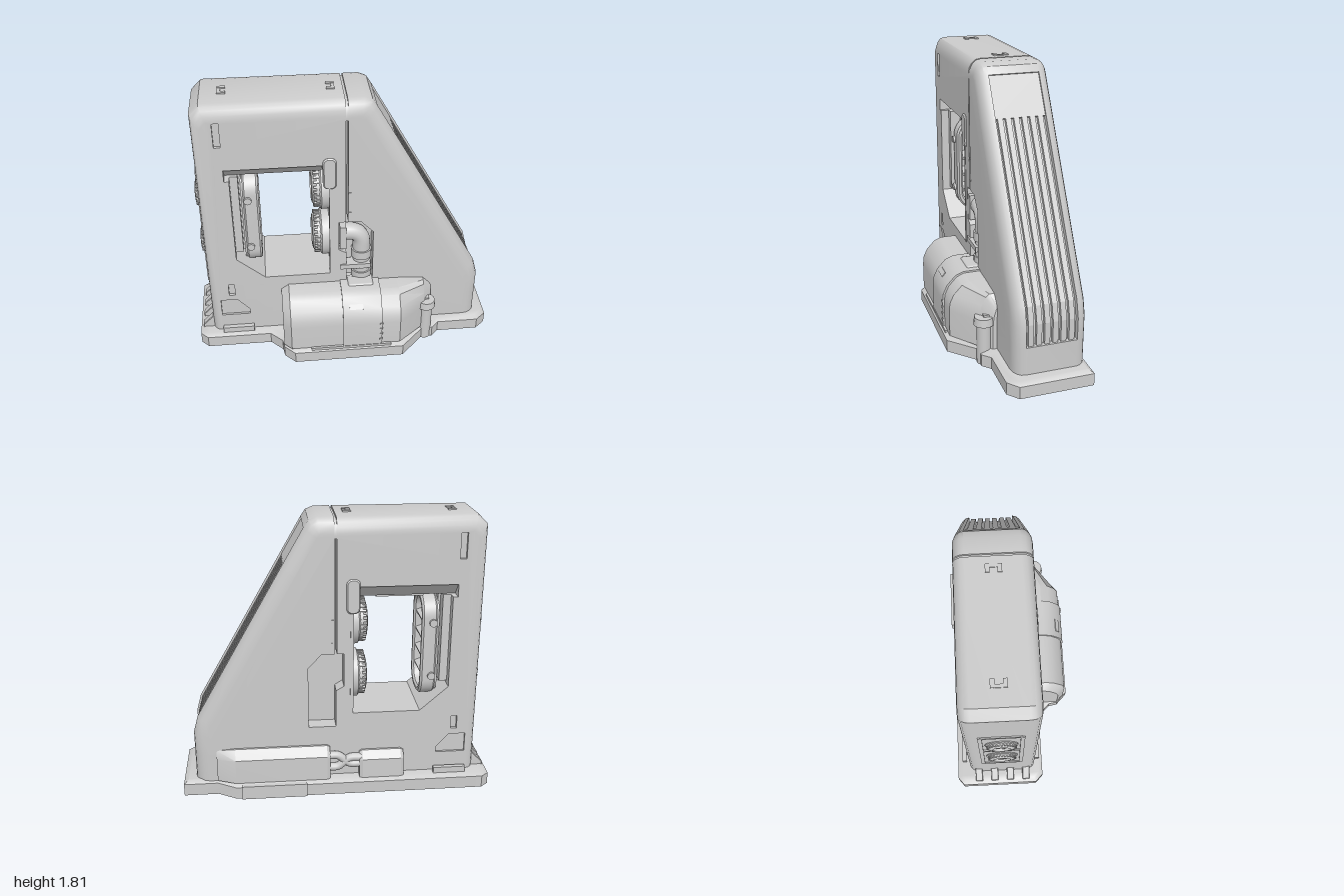
import * as THREE from 'three';
import { toCreasedNormals } from 'three/addons/utils/BufferGeometryUtils.js';
import { RoundedBoxGeometry } from 'three/addons/geometries/RoundedBoxGeometry.js';

const grey = new THREE.MeshStandardMaterial({ color: 0xcccccc });
const greyDouble = new THREE.MeshStandardMaterial({ color: 0xcccccc, side: THREE.DoubleSide });
const Z0 = -0.315, Z1 = 0.145, ZC = -0.085; // body back, front and middle

function add(parent, name, geo, x = 0, y = 0, z = 0, mat = grey) {
  const m = new THREE.Mesh(geo, mat);
  m.name = name;
  m.position.set(x, y, z);
  parent.add(m);
  return m;
}
const box = (p, name, w, h, d, x, y, z) => add(p, name, new THREE.BoxGeometry(w, h, d), x, y, z);

function toGeometry(pos, crease = 0.6) {
  const g = new THREE.BufferGeometry();
  g.setAttribute('position', new THREE.Float32BufferAttribute(pos, 3));
  return toCreasedNormals(g, crease);
}
const quad = (out, a, b, c, d) => out.push(...a, ...b, ...c, ...a, ...c, ...d);

// Moves each edge of a counter-clockwise outline inward by d times its weight
function inset(pts, d) {
  const n = pts.length;
  const normal = (p, q) => {
    const l = Math.hypot(q[0] - p[0], q[1] - p[1]);
    return [(q[1] - p[1]) / l, (p[0] - q[0]) / l];
  };
  return pts.map((p, i) => {
    const prev = pts[(i + n - 1) % n];
    const a = normal(prev, p), b = normal(p, pts[(i + 1) % n]);
    const da = d * (prev[2] ?? 1), db = d * (p[2] ?? 1);
    const det = a[0] * b[1] - a[1] * b[0];
    if (Math.abs(det) < 0.01) return [p[0] - a[0] * da, p[1] - a[1] * da];
    const ca = a[0] * p[0] + a[1] * p[1] - da, cb = b[0] * p[0] + b[1] * p[1] - db;
    return [(ca * b[1] - cb * a[1]) / det, (a[0] * cb - b[0] * ca) / det];
  });
}

// Flat polygon with holes at height z, facing +z or -z
function cap(out, pts, holes, z, up) {
  const v = a => a.map(p => new THREE.Vector2(p[0], p[1]));
  const all = [...pts, ...holes.flat()];
  for (const [i, j, k] of THREE.ShapeUtils.triangulateShape(v(pts), holes.map(v))) {
    const [a, b, c] = [all[i], all[j], all[k]];
    const ccw = (b[0] - a[0]) * (c[1] - a[1]) - (b[1] - a[1]) * (c[0] - a[0]) > 0;
    for (const q of ccw === up ? [a, b, c] : [a, c, b]) out.push(q[0], q[1], z);
  }
}

// Slab from rings [z, inset], with through holes and pockets sunk in both faces
function slab(pts, rings, through = [], pockets = [], open = () => false) {
  const out = [], n = pts.length;
  const loops = rings.map(r => inset(pts, r[1]));
  const wall = (a, za, b, zb, i) => {
    const j = (i + 1) % a.length;
    quad(out, [a[i][0], a[i][1], za], [a[j][0], a[j][1], za], [b[j][0], b[j][1], zb], [b[i][0], b[i][1], zb]);
  };
  for (let k = 0; k + 1 < rings.length; k++)
    for (let i = 0; i < n; i++) if (!open(i, k)) wall(loops[k], rings[k][0], loops[k + 1], rings[k + 1][0], i);
  const lo = rings[0][0], hi = rings.at(-1)[0];
  const holes = [...through, ...pockets.map(p => p[0])];
  cap(out, loops[0], holes, lo, false);
  cap(out, loops.at(-1), holes, hi, true);
  through.forEach(h => h.forEach((_, i) => wall(h, hi, h, lo, i)));
  pockets.forEach(([h, depth]) => {
    h.forEach((_, i) => { wall(h, hi, h, hi - depth, i); wall(h, lo + depth, h, lo, i); });
    cap(out, h, [], hi - depth, true);
    cap(out, h, [], lo + depth, false);
  });
  return toGeometry(out);
}

// Skin along x: a (z, y) profile scaled at each station [x, depth, height]
function loft(profile, stations) {
  const out = [], n = profile.length;
  const rings = stations.map(([x, d, h]) => profile.map(([z, y]) => [x, y * h, z * d]));
  for (let k = 0; k + 1 < rings.length; k++)
    for (let i = 0; i < n; i++) {
      const j = (i + 1) % n;
      quad(out, rings[k][i], rings[k][j], rings[k + 1][j], rings[k + 1][i]);
    }
  const a = rings[0], b = rings.at(-1);
  for (let i = 1; i + 1 < n; i++) out.push(...a[0], ...a[i + 1], ...a[i], ...b[0], ...b[i], ...b[i + 1]);
  return toGeometry(out, 0.45);
}

function pill(w, h, r, Type = THREE.Shape) {
  const s = new Type(), x = w / 2 - r, y = h / 2 - r;
  s.absarc(x, y, r, 0, Math.PI / 2);
  s.absarc(-x, y, r, Math.PI / 2, Math.PI);
  s.absarc(-x, -y, r, Math.PI, Math.PI * 1.5);
  s.absarc(x, -y, r, Math.PI * 1.5, Math.PI * 2);
  s.closePath();
  return s;
}
const extrude = (s, depth, bevel = 0.01) => new THREE.ExtrudeGeometry(s, {
  depth: depth - 2 * bevel, bevelEnabled: bevel > 0, bevelSize: bevel, bevelOffset: -bevel,
  bevelThickness: bevel, bevelSegments: 1, curveSegments: 8 }).translate(0, 0, bevel);

// Ringed coil facing -x with teeth around its rim
function coil(parent, name, x, y, r, length) {
  const g = new THREE.Group();
  g.name = name;
  const prof = [[1, 0], [1, 0.45], [0.88, 0.55], [0.88, 0.7], [0.72, 0.95], [0.55, 1], [0.52, 0.5],
    [0.34, 0.5], [0.32, 0.8], [0.2, 0.8], [0.18, 0.6], [0, 0.6]];
  const pts = prof.map(p => new THREE.Vector2(p[0] * r, p[1] * length));
  add(g, 'coilRings', toCreasedNormals(new THREE.LatheGeometry(pts, 32), 0.5));
  for (let i = 0; i < 28; i++) {
    const a = i / 28 * Math.PI * 2;
    const t = box(g, 'coilTooth', r * 0.1, length * 0.35, r * 0.09, Math.cos(a) * r * 0.86, length * 0.7, Math.sin(a) * r * 0.86);
    t.rotation.y = -a;
  }
  g.rotation.z = Math.PI / 2;
  g.position.set(x, y, ZC);
  parent.add(g);
}

export function createModel() {
  const model = new THREE.Group();
  model.name = 'machine';

  // Base plinth, outlined as (x, z)
  const plan = [[-0.95, 0.2], [-0.52, 0.2], [-0.44, 0.28], [-0.43, 0.34], [-0.36, 0.41], [0.37, 0.41], [0.53, 0.25],
    [0.6, 0.25], [0.65, 0.2], [0.93, 0.2], [1, 0.14], [1, -0.33], [0.78, -0.33], [0.66, -0.4], [-0.95, -0.4],
    [-1, -0.36], [-1, 0.15]].map(p => [p[0], -p[1]]);
  add(model, 'base', slab(plan, [[0, 0], [0.08, 0], [0.1, 0.03]]).rotateX(-Math.PI / 2));
  box(model, 'baseRearPanel', 0.42, 0.09, 0.03, 0.415, 0.05, -0.405);
  box(model, 'baseFrontPanel', 0.54, 0.03, 0.02, 0.02, 0.09, 0.39);
  for (const z of [0.165, -0.35]) box(model, 'basePlate', 0.21, 0.04, 0.03, -0.735, 0.12, z);

  // Main body: column, beam and sloping buttress; third number is the edge rounding weight
  const outline = [[-0.91, 0.05, 0], [0.92, 0.05], [0.92, 0.28], [0.92, 0.42], [0.89, 0.53], [0.335, 1.5], [0.2, 1.735],
    [0.17, 1.78], [0.12, 1.8], [0.02, 1.8, 0], [0.02, 1.785], [0.005, 1.785, 0], [0.005, 1.8], [-0.85, 1.8],
    [-0.91, 1.74, 0.6]];
  const rings = [0, 1, 2, 3, 4].map(k => {
    const a = k * Math.PI / 8;
    return [Z0 + 0.07 * (1 - Math.cos(a)), 0.09 * (1 - Math.sin(a))];
  });
  rings.push(...rings.map(r => [Z0 + Z1 - r[0], r[1]]).reverse());
  const opening = [[-0.71, 0.7], [-0.53, 0.54], [-0.09, 0.54], [-0.09, 1.38], [-0.74, 1.38], [-0.74, 1.3], [-0.71, 1.3]];
  const rect = (x0, y0, x1, y1) => [[x0, y0], [x1, y0], [x1, y1], [x0, y1]];
  const pockets = [
    [[[0.01, 0.45], [0.185, 0.45], [0.185, 0.86], [0.1, 0.95], [0.02, 0.95], [0.02, 1.68], [0.005, 1.68], [0.005, 0.95],
      [-0.04, 0.95], [-0.04, 0.73], [0.01, 0.7]], 0.1],
    [rect(-0.78, 1.54, -0.74, 1.7), 0.02],
    [rect(-0.78, 0.4, -0.74, 0.49), 0.02],
    [[[-0.84, 0.23], [-0.65, 0.23], [-0.65, 0.27], [-0.73, 0.36], [-0.84, 0.36]], 0.015],
  ];
  add(model, 'body', slab(outline, rings, [opening], pockets, (i, k) => k === 4 && i >= 2 && i <= 5));

  // Recessed grille running down the slope
  const zl = rings[4][0], zh = rings[5][0], depth = 0.035;
  const chain = (d, a, b) => inset(outline, d).slice(a, b);
  const outer = chain(0, 2, 7), inner = chain(depth, 2, 7), tray = [];
  const at = (p, z) => [p[0], p[1], z];
  for (let i = 0; i < 4; i++) {
    quad(tray, at(inner[i], zh), at(inner[i], zl), at(inner[i + 1], zl), at(inner[i + 1], zh));
    for (const z of [zl, zh]) quad(tray, at(outer[i], z), at(outer[i + 1], z), at(inner[i + 1], z), at(inner[i], z));
  }
  for (const i of [0, 4]) quad(tray, at(outer[i], zl), at(outer[i], zh), at(inner[i], zh), at(inner[i], zl));
  add(model, 'grilleTray', toGeometry(tray), 0, 0, 0, greyDouble);
  const strip = (name, a, b, top, z, w) => {
    const pts = [...chain(top, a, b), ...chain(depth + 0.005, a, b).reverse()];
    add(model, name, extrude(new THREE.Shape(pts.map(p => new THREE.Vector2(p[0], p[1]))), w, 0), 0, 0, z - w / 2);
  };
  strip('grilleTopPanel', 5, 7, 0.012, ZC, zh - zl);
  for (let i = 0; i < 6; i++) strip('grilleBar', 2, 6, 0.012, ZC + (i - 2.5) * 0.051, 0.034);

  // Chamfered header and louvre unit inside the opening
  const header = new THREE.Shape([[-0.23, 0.09], [-0.15, 0], [0.15, 0], [0.23, 0.09]].map(p => new THREE.Vector2(...p)));
  add(model, 'openingHeader', extrude(header, 0.6, 0).rotateY(Math.PI / 2), -0.74, 1.3, ZC);
  box(model, 'headerBlock', 0.3, 0.03, 0.2, -0.4, 1.29, ZC);
  for (const s of [-1, 1]) box(model, 'louvreRail', 0.05, 0.58, 0.07, -0.685, 1.01, ZC + s * 0.14);
  box(model, 'louvreBacking', 0.07, 0.6, 0.2, -0.68, 0.99, ZC);
  const ring = pill(0.32, 0.68, 0.13);
  ring.holes.push(pill(0.24, 0.6, 0.1, THREE.Path));
  add(model, 'louvreFrame', toCreasedNormals(extrude(ring, 0.1, 0.012).rotateY(Math.PI / 2), 0.5), -0.64, 0.93, ZC);
  add(model, 'louvreBack', extrude(pill(0.3, 0.66, 0.12), 0.02, 0).rotateY(Math.PI / 2), -0.65, 0.93, ZC);
  for (let i = 0; i < 4; i++) box(model, 'louvreFin', 0.09, 0.025, 0.26, -0.6, 0.75 + i * 0.12, ZC).rotation.z = -0.35;
  for (const y of [0.75, 1.11]) for (const s of [-1, 1]) {
    add(model, 'louvreBolt', new THREE.CylinderGeometry(0.025, 0.025, 0.02, 12).rotateX(Math.PI / 2), -0.61, y, ZC + s * 0.165);
  }

  // Coils in the opening and matching caps on the outer column face
  for (const y of [1.1, 0.73]) {
    coil(model, 'coil', -0.09, y, 0.16, 0.115);
    coil(model, 'columnCap', -0.895, y, 0.1, 0.048);
  }
  for (const s of [-1, 1]) box(model, 'columnRail', 0.02, 0.85, 0.025, -0.908, 0.9, ZC + s * 0.125);
  for (const y of [0.47, 0.915, 1.32]) box(model, 'columnCrossbar', 0.02, 0.025, 0.25, -0.908, y, ZC);
  for (let i = 0; i < 4; i++) {
    const foot = new THREE.Shape([[-0.07, 0], [0.02, 0], [0.02, 0.1], [0, 0.1], [-0.07, 0.03]].map(p => new THREE.Vector2(...p)));
    add(model, 'columnFoot', extrude(foot, 0.05, 0.004), -0.91, 0.09, ZC + (i - 1.5) * 0.11 - 0.025);
  }

  // Latch tabs and pillar strips on both faces, clips on top
  for (const s of [-1, 1]) {
    add(model, 'pillarTab', extrude(pill(0.085, 0.22, 0.035), 0.06, 0.008), -0.095, 1.32, ZC + s * 0.21 - 0.03);
    box(model, 'pillarStrip', 0.02, 0.68, 0.03, -0.09, 0.88, ZC + s * 0.218);
    for (const y of [1.02, 1.17]) box(model, 'seamTick', 0.02, 0.012, 0.01, 0.03, y, ZC + s * 0.23);
  }
  for (const x of [-0.72, -0.07]) {
    for (const s of [-1, 1]) box(model, 'topClip', 0.05, 0.016, 0.025, x, 1.8, ZC + s * 0.035);
    box(model, 'topClip', 0.02, 0.012, 0.08, x + 0.015 * Math.sign(x + 0.4), 1.8, ZC);
  }

  // Elbow pipe in the front pocket
  const path = new THREE.CurvePath(), V = (x, y) => new THREE.Vector3(x, y, 0.082);
  path.add(new THREE.LineCurve3(V(-0.03, 0.835), V(0.02, 0.835)));
  path.add(new THREE.QuadraticBezierCurve3(V(0.02, 0.835), V(0.115, 0.835), V(0.115, 0.74)));
  path.add(new THREE.LineCurve3(V(0.115, 0.74), V(0.115, 0.42)));
  add(model, 'elbowPipe', new THREE.TubeGeometry(path, 40, 0.058, 16));
  for (const [y, h] of [[0.585, 0.04], [0.665, 0.06], [0.5, 0.05]])
    add(model, 'pipeCollar', new THREE.CylinderGeometry(0.068, 0.068, h, 20), 0.115, y, 0.082);
  box(model, 'pipeFlange', 0.04, 0.17, 0.1, -0.012, 0.82, 0.095);
  box(model, 'pipeBracket', 0.2, 0.035, 0.08, 0.07, 0.59, 0.115);

  // Front tank with its raised middle band, hatch clip and side post
  const tank = [[0, 0], [0, 0.365], [0.15, 0.365], [0.2, 0.345], [0.255, 0.285], [0.28, 0.23], [0.285, 0.18], [0.285, 0]];
  add(model, 'tank', loft(tank, [[-0.43, 0.83, 0.9], [-0.38, 1, 1], [0.35, 1, 1], [0.53, 0.5, 0.97], [0.59, 0.25, 0.8]]), 0, 0.1, 0.1);
  add(model, 'tankBand', loft(tank, [[-0.035, 1.04, 1.03], [0.225, 1.04, 1.03]]), 0, 0.1, 0.1);
  box(model, 'tankClip', 0.09, 0.035, 0.03, 0.055, 0.4, 0.345).rotation.x = -0.75;
  add(model, 'tankPad', new RoundedBoxGeometry(0.17, 0.05, 0.1, 2, 0.015), 0.1, 0.46, 0.17);
  for (let i = 0; i < 4; i++) box(model, 'tankTick', 0.02, 0.012, 0.012, 0.22, 0.15 + i * 0.045, 0.396);
  add(model, 'post', new THREE.CylinderGeometry(0.045, 0.045, 0.3, 16), 0.55, 0.15, 0.22);
  add(model, 'postCap', new THREE.CylinderGeometry(0.058, 0.064, 0.05, 16), 0.55, 0.295, 0.22);
  box(model, 'postArm', 0.1, 0.035, 0.05, 0.52, 0.315, 0.2);

  // Rear tank, junction box and the pipes between them
  const rear = new THREE.Group();
  rear.name = 'rearEquipment';
  rear.rotation.y = Math.PI;
  rear.position.set(0, 0.1, -0.3);
  model.add(rear);
  const low = [[0, 0], [0, 0.22], [0.03, 0.22], [0.075, 0.16], [0.08, 0]];
  add(rear, 'rearTank', loft(low, [[-0.78, 0.4, 0.95], [-0.66, 1, 1], [-0.07, 1, 1], [-0.05, 0.85, 0.95]]));
  add(rear, 'junctionBox', loft(low, [[0.14, 0.85, 0.75], [0.16, 1, 0.8], [0.41, 1, 0.8], [0.43, 0.85, 0.75]]));
  for (const [y0, y1] of [[0.15, 0.09], [0.07, 0.13]]) {
    const c = new THREE.CatmullRomCurve3([[-0.07, y0], [0, y0], [0.08, y1], [0.16, y1]].map(p => new THREE.Vector3(p[0], p[1], 0.035)));
    add(rear, 'rearPipe', new THREE.TubeGeometry(c, 20, 0.026, 12));
  }
  return model;
}
